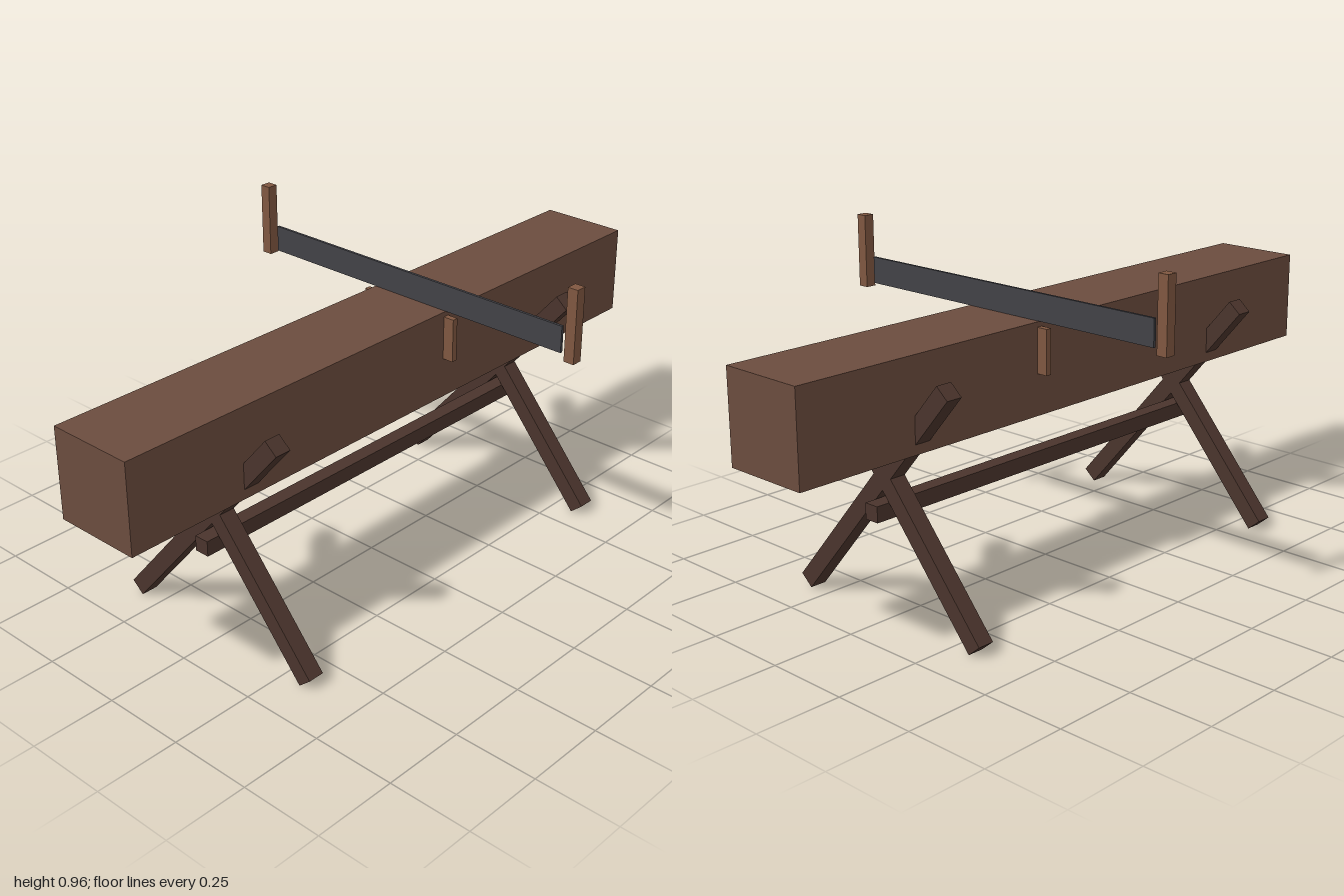
import * as THREE from 'three';

export function createModel() {
  const model = new THREE.Group();
  model.name = 'sawhorse';

  const paint = (name, color) => {
    const m = new THREE.MeshStandardMaterial({ color });
    m.name = name;
    return m;
  };
  const timber = paint('timber brown', 0x6b4c3e);
  const darkWood = paint('dark wood', 0x4a342c);
  const handleWood = paint('handle wood', 0x7f5740);
  const steel = paint('dark steel', 0x414146);

  const box = (name, material, size, position, tilt = 0) => {
    const mesh = new THREE.Mesh(new THREE.BoxGeometry(...size), material);
    mesh.name = name;
    mesh.position.set(...position);
    mesh.rotation.x = tilt;
    model.add(mesh);
  };

  // Squared log lying on the trestles
  box('beam', timber, [2, 0.266, 0.266], [0, 0.633, 0]);

  // Two crossed pairs of legs; each leg runs from its foot to the opposite side
  const footZ = 0.335, footY = 0.019, topZ = -0.234, topY = 0.685;
  const length = Math.hypot(topZ - footZ, topY - footY);
  const lean = Math.atan2(topZ - footZ, topY - footY);
  for (const x of [-0.6, 0.6]) {
    for (const side of [1, -1]) {
      box('leg', darkWood, [0.05, length, 0.05],
        [x, (footY + topY) / 2, side * (footZ + topZ) / 2], side * lean);
    }
  }

  // Rail joining the trestles
  box('stretcher', darkWood, [1.33, 0.046, 0.046], [0, 0.32, 0]);

  // Two-man saw resting across the beam
  const sawX = 0.165;
  box('sawBlade', steel, [0.008, 0.078, 1.066], [sawX, 0.806, 0]);
  for (const side of [1, -1]) {
    box('sawHandle', handleWood, [0.032, 0.214, 0.032], [sawX, 0.86, side * 0.569]);
    // Peg standing out from the beam below the blade
    box('peg', handleWood, [0.018, 0.13, 0.036], [sawX, 0.686, side * 0.149]);
  }

  return model;
}
